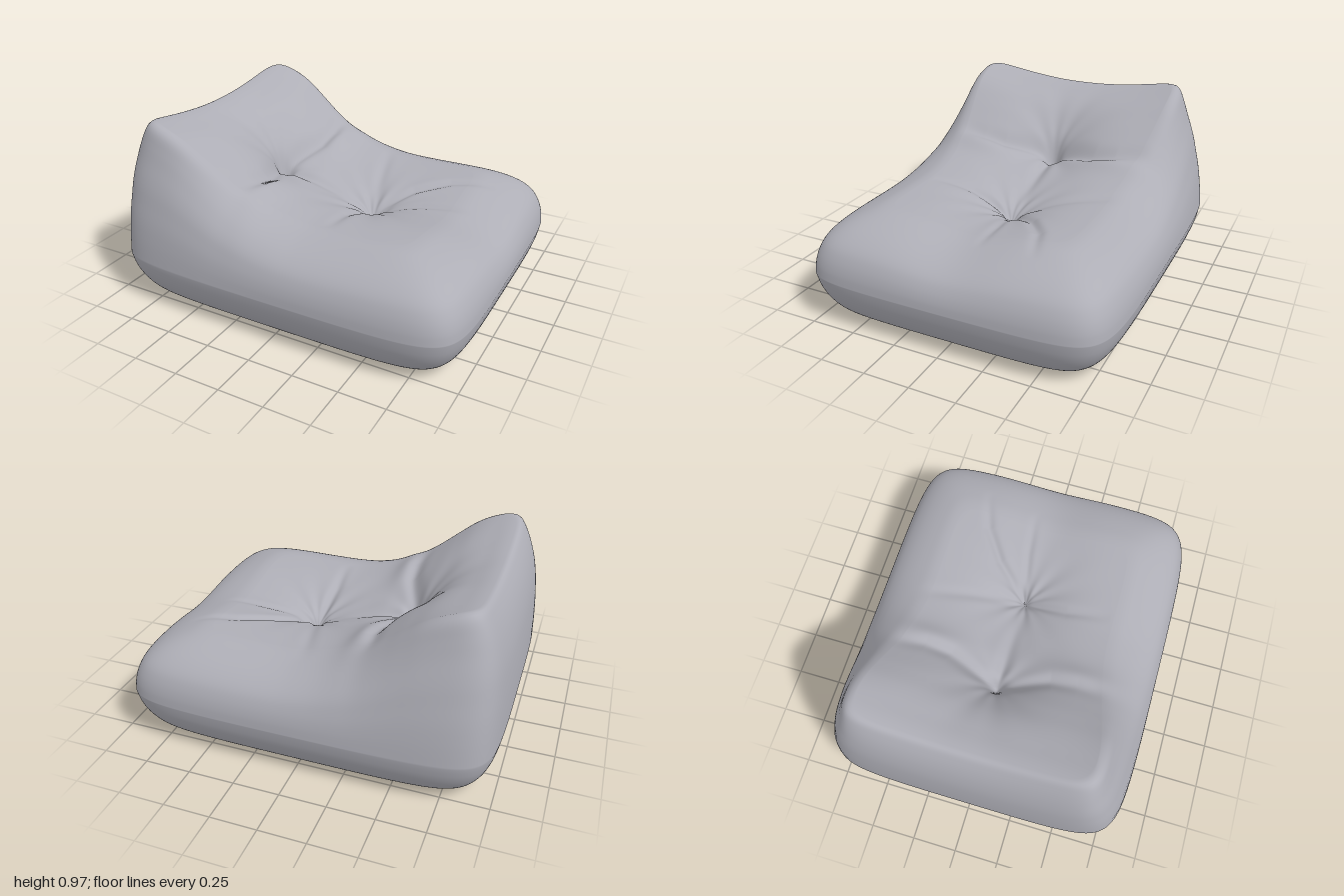
import * as THREE from 'three';

// Smooth lookup through a few [x, y] points (cubic Hermite)
function curve(pts) {
  const slope = pts.map((p, i) => {
    const a = pts[Math.max(i - 1, 0)], b = pts[Math.min(i + 1, pts.length - 1)];
    return (b[1] - a[1]) / (b[0] - a[0]);
  });
  return (x) => {
    if (x <= pts[0][0]) return pts[0][1];
    const i = pts.findIndex((p) => p[0] >= x);
    if (i < 0) return pts[pts.length - 1][1];
    const [x0, y0] = pts[i - 1], [x1, y1] = pts[i], h = x1 - x0, t = (x - x0) / h;
    const t2 = t * t, t3 = t2 * t;
    return y0 * (2 * t3 - 3 * t2 + 1) + y1 * (3 * t2 - 2 * t3)
      + h * slope[i - 1] * (t3 - 2 * t2 + t) + h * slope[i] * (t3 - t2);
  };
}

const MID = 0.25;    // height of the widest outline
const EDGE = 0.38;   // how far the rounded rim reaches inwards
const BUTTON = 0.18; // x of the seat tuft

// Side profile of backrest and seat
const profile = curve([[-1, 0.99], [-0.82, 0.985], [-0.7, 0.95], [-0.6, 0.9], [-0.5, 0.825], [-0.4, 0.745],
  [-0.3, 0.675], [-0.2, 0.63], [-0.1, 0.592], [0, 0.567], [0.1, 0.552], [0.25, 0.547], [0.6, 0.553], [1, 0.555]]);
// Rounded rim: share of the height reached at each inset
const rim = curve([[0, 0], [0.006, 0.17], [0.025, 0.37], [0.06, 0.56], [0.12, 0.72], [0.2, 0.85], [0.3, 0.96],
  [0.34, 0.988], [EDGE, 1], [0.46, 1]]);
// Straighter sideways taper of the backrest at each inset
const backTaper = curve([[0, 0], [0.008, 0.018], [0.044, 0.066], [0.12, 0.122], [0.2, 0.155], [0.3, 0.187], [EDGE, 0.235]]);
// Inset of the lower rounding at each height
const lower = curve([[0, 0.3], [0.01, 0.2], [0.025, 0.125], [0.05, 0.083], [0.11, 0.042], [0.18, 0.014], [MID, 0]]);

// Fabric creases: points in x, z, then depth and width
const creases = [
  { pts: [[-0.4, 0], [-0.36, 0.13], [-0.31, 0.28], [-0.3, 0.42], [-0.32, 0.58]], depth: 0.035, width: 0.04 },
  { pts: [[-0.4, 0], [-0.36, -0.13], [-0.31, -0.28], [-0.3, -0.42], [-0.34, -0.62]], depth: 0.035, width: 0.04 },
  { pts: [[0.2, -0.02], [0.35, -0.2], [0.52, -0.32], [0.76, -0.4]], depth: 0.022, width: 0.028 },
  { pts: [[0.2, -0.01], [0.45, -0.06], [0.72, -0.09]], depth: 0.016, width: 0.025 },
  { pts: [[0.17, 0.02], [0.15, 0.25], [0.17, 0.5]], depth: 0.018, width: 0.028 },
  { pts: [[0.16, -0.02], [0.1, -0.28], [0.01, -0.62]], depth: 0.014, width: 0.035 },
  { pts: [[-0.4, 0], [-0.1, 0], [0.18, 0]], depth: 0.02, width: 0.04 },
];

// Depth of a crease at a point, fading towards its far end
function creaseDepth({ pts, depth, width }, x, z) {
  let best = 0;
  for (let i = 0; i < pts.length - 1; i++) {
    const [ax, az] = pts[i], dx = pts[i + 1][0] - ax, dz = pts[i + 1][1] - az;
    const t = THREE.MathUtils.clamp(((x - ax) * dx + (z - az) * dz) / (dx * dx + dz * dz), 0, 1);
    const dist = Math.hypot(x - ax - t * dx, z - az - t * dz);
    const along = (i + t) / (pts.length - 1);
    best = Math.max(best, depth * (1 - along ** 3) * Math.exp(-((dist / width) ** 2)));
  }
  return best;
}

// Pinched tuft with soft folds radiating from it
function tuft(x, z, cx, depth, radius, folds) {
  const r = Math.hypot(x - cx, z), a = Math.atan2(z, x - cx);
  const fold = 0.004 * Math.sin(folds * a + 1) * Math.min(r / 0.1, 1) * Math.exp(-((r / 0.3) ** 2));
  return depth * Math.exp(-r / radius) + fold;
}

// Height of the upper surface
function topHeight(x, z) {
  const back = 1 - THREE.MathUtils.smoothstep(x, -0.75, -0.4);
  const sagBack = 0.07 * Math.max(0, 1 - (z / 0.62) ** 2);
  const sagSeat = 0.05 * Math.exp(-((z / 0.25) ** 2));
  let y = profile(x) - THREE.MathUtils.lerp(sagSeat, sagBack, back);
  y -= tuft(x, z, -0.4, 0.15, 0.14, 9) + tuft(x, z, BUTTON, 0.11, 0.14, 11);
  for (const c of creases) y -= creaseDepth(c, x, z);
  // Puffed lip in front of the backrest crease
  return y + 0.022 * Math.exp(-(((x + 0.24) / 0.06) ** 2) - ((Math.abs(z) - 0.42) / 0.16) ** 2);
}

// Outline point at an inset; u, v run around a unit square
function outline(u, v, d) {
  const n = 12, k = (Math.abs(u) ** n + Math.abs(v) ** n) ** (1 / n);
  const a = u / k, b = v / k;
  const bow = 1 - d / EDGE; // sides bulge most at the widest height
  const back = 1 - THREE.MathUtils.smoothstep(a, -0.9, 0.2);
  const xBack = -(1 - 0.41 * d), xFront = 1 - d;
  const halfZ = 0.855 - THREE.MathUtils.lerp(0.88 * d, backTaper(d), back);
  const x = (xBack + xFront) / 2 + a * (1 - 0.04 * bow * b ** 4) * (xFront - xBack) / 2;
  return [x, b * (1 - 0.05 * bow * a ** 4) * halfZ];
}

// Lower outline: even inset on all sides
function lowerOutline(u, v, d) {
  const [x, z] = outline(u, v, 0);
  return [x * (1 - d), z * (1 - d / 0.855)];
}

function cushionGeometry() {
  const side = 80, count = side * 4, pos = [], index = [];
  const square = [];
  for (let i = 0; i < count; i++) {
    const t = (i % side) / side * 2 - 1;
    square.push([[1, t], [-t, 1], [-1, -t], [t, -1]][Math.floor(i / side)]);
  }
  let rings = 0;
  const addRing = (fn) => { square.forEach(([u, v]) => pos.push(...fn(u, v))); rings++; };

  // Flat underside and lower rounding
  for (const s of [0, 0.4, 0.8]) {
    addRing((u, v) => { const [x, z] = lowerOutline(u, v, 0.3); return [x * s, 0, z * s]; });
  }
  for (let k = 0; k <= 18; k++) {
    const y = MID * (k / 18) ** 2;
    addRing((u, v) => { const [x, z] = lowerOutline(u, v, lower(y)); return [x, y, z]; });
  }
  // Side walls rolling over into the top
  const raise = (x, z, f) => [x, MID + (topHeight(x, z) - MID) * f, z];
  for (let k = 1; k <= 28; k++) {
    const d = EDGE * (k / 28) ** 2;
    addRing((u, v) => raise(...outline(u, v, d), rim(d)));
  }
  // Upper surface gathering into the seat tuft
  for (let k = 1; k <= 85; k++) {
    const s = 1 - k / 85;
    addRing((u, v) => {
      const [x, z] = outline(u, v, EDGE);
      return raise(BUTTON + (x - BUTTON) * s, z * s, 1);
    });
  }
  for (let k = 0; k < rings - 1; k++) {
    for (let i = 0; i < count; i++) {
      const j = (i + 1) % count, a = k * count + i, b = k * count + j;
      index.push(a, a + count, b, b, a + count, b + count);
    }
  }
  const geo = new THREE.BufferGeometry();
  geo.setAttribute('position', new THREE.Float32BufferAttribute(pos, 3));
  geo.setIndex(index);
  geo.computeVertexNormals();
  // The two poles need plain vertical normals
  const normal = geo.attributes.normal;
  for (let i = 0; i < count; i++) {
    normal.setXYZ(i, 0, -1, 0);
    normal.setXYZ((rings - 1) * count + i, 0, 1, 0);
  }
  return geo;
}

export function createModel() {
  const fabric = new THREE.MeshStandardMaterial({ color: 0xaeaeb6 });
  fabric.name = 'grey fabric';
  const cushion = new THREE.Mesh(cushionGeometry(), fabric);
  cushion.name = 'loungeCushion';
  const group = new THREE.Group();
  group.name = 'softLoungeChair';
  group.add(cushion);
  return group;
}
